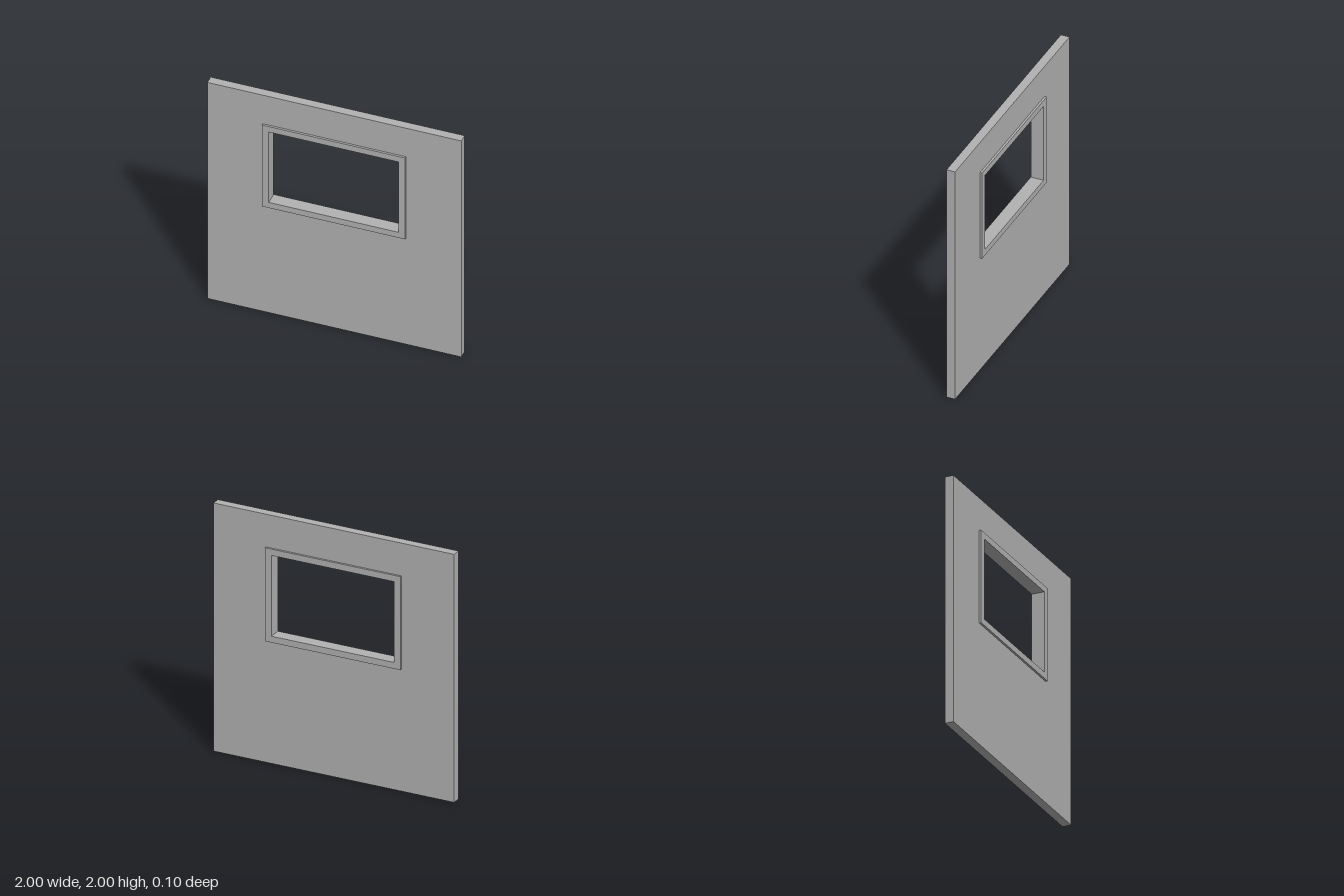
import * as THREE from 'three';

const grey = new THREE.MeshStandardMaterial({ color: 0xb2b2b2 });
grey.name = 'plain grey';

// Rectangle corners, used for both outlines and holes
function corners(halfWidth, bottom, top) {
  return [
    new THREE.Vector2(-halfWidth, bottom),
    new THREE.Vector2(halfWidth, bottom),
    new THREE.Vector2(halfWidth, top),
    new THREE.Vector2(-halfWidth, top),
  ];
}

// Rectangular slab with a rectangular opening, centred on z = 0
function piercedSlab(name, outer, inner, depth) {
  const shape = new THREE.Shape(corners(...outer));
  shape.holes.push(new THREE.Path(corners(...inner)));
  const geometry = new THREE.ExtrudeGeometry(shape, { depth, bevelEnabled: false });
  geometry.translate(0, 0, -depth / 2);
  const mesh = new THREE.Mesh(geometry, grey);
  mesh.name = name;
  return mesh;
}

export function createModel() {
  const group = new THREE.Group();
  group.name = 'windowWall';

  // Wall panel, its hole hidden behind the frame
  group.add(piercedSlab('wall', [1, 0, 2], [0.54, 1.01, 1.71], 0.07));

  // Window frame, standing slightly proud on both sides
  group.add(piercedSlab('windowFrame', [0.564, 0.983, 1.736], [0.51, 1.034, 1.685], 0.104));

  return group;
}
